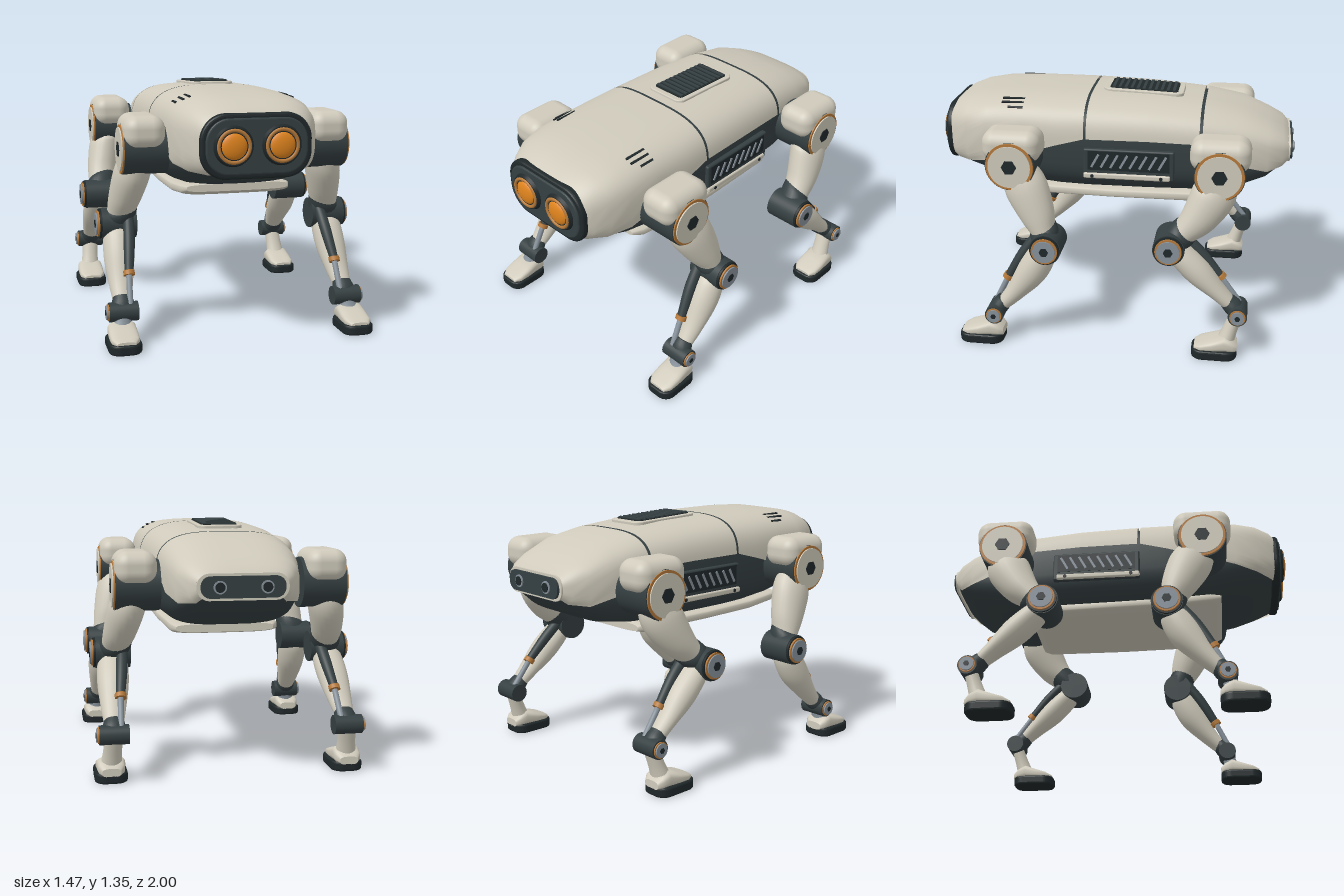
import * as THREE from 'three';
import { RoundedBoxGeometry } from 'three/addons/geometries/RoundedBoxGeometry.js';

const V = (x, y, z) => new THREE.Vector3(x, y, z);
const lerp = THREE.MathUtils.lerp;

function material(name, color) {
  const m = new THREE.MeshStandardMaterial({ color, side: THREE.DoubleSide });
  m.name = name;
  return m;
}
const SHELL = material('shell', 0xcfcabb), DARK = material('charcoal', 0x353f41),
  BLACK = material('rubber', 0x20282a), COPPER = material('copper', 0xb5793a),
  EYE = material('amber', 0xe0841e), STEEL = material('steel', 0x87919a);

function add(parent, name, geometry, mat, x = 0, y = 0, z = 0) {
  const mesh = new THREE.Mesh(geometry, mat);
  mesh.name = name;
  mesh.position.set(x, y, z);
  parent.add(mesh);
  return mesh;
}

// Skin through rings of points; closed rings also get end caps
function loft(rings, closed) {
  const n = rings[0].length, pos = [], idx = [];
  rings.forEach(r => r.forEach(p => pos.push(p.x, p.y, p.z)));
  for (let i = 0; i < rings.length - 1; i++)
    for (let j = 0; j < (closed ? n : n - 1); j++) {
      const a = i * n + j, b = i * n + (j + 1) % n;
      idx.push(a, b, a + n, b, b + n, a + n);
    }
  if (closed) [rings[0], rings[rings.length - 1]].forEach((ring, end) => {
    const c = pos.length / 3;
    const mid = ring.reduce((s, p) => s.add(p), V(0, 0, 0)).divideScalar(n);
    [mid, ...ring].forEach(p => pos.push(p.x, p.y, p.z));
    for (let j = 0; j < n; j++) {
      const a = c + 1 + j, b = c + 1 + (j + 1) % n;
      idx.push(c, end ? a : b, end ? b : a);
    }
  });
  const g = new THREE.BufferGeometry();
  g.setAttribute('position', new THREE.Float32BufferAttribute(pos, 3));
  g.setIndex(idx);
  g.computeVertexNormals();
  return g;
}

// Superellipse ring for a section [z, halfWidth, bottom, top]
function ring([z, w, lo, hi], n, a0, a1, count) {
  const f = v => Math.sign(v) * Math.abs(v) ** (2 / n);
  return Array.from({ length: count }, (_, j) => {
    const a = lerp(a0, a1, j / (a1 - a0 > 6.28 ? count : count - 1));
    return V(w * f(Math.cos(a)), (lo + hi) / 2 + (hi - lo) / 2 * f(Math.sin(a)), z);
  });
}
const hull = (sections, n) => loft(sections.map(s => ring(s, n, 0, Math.PI * 2, 48)), true);

// Tapered limb through points [x, y, z, rx, rz]
function limb(points) {
  const path = new THREE.CatmullRomCurve3(points.map(p => V(p[0], p[1], p[2])), false, 'catmullrom');
  const size = new THREE.CatmullRomCurve3(points.map(p => V(p[3], p[4], 0)), false, 'catmullrom');
  const X = V(1, 0, 0), steps = (points.length - 1) * 5;
  return loft(Array.from({ length: steps + 1 }, (_, i) => {
    const t = i / steps, c = path.getPoint(t), r = size.getPoint(t);
    const N = path.getTangent(t).cross(X).normalize();
    return Array.from({ length: 24 }, (_, j) => {
      const a = j / 24 * Math.PI * 2;
      return c.clone().addScaledVector(X, Math.cos(a) * r.x).addScaledVector(N, Math.sin(a) * r.y);
    });
  }), true);
}

// Rounded plate facing +z
function plate(w, h, r, depth, bevel = 0) {
  const s = new THREE.Shape(), x = w / 2 - bevel, y = h / 2 - bevel, H = Math.PI / 2;
  s.absarc(x - r, y - r, r, 0, H);
  s.absarc(r - x, y - r, r, H, 2 * H);
  s.absarc(r - x, r - y, r, 2 * H, 3 * H);
  s.absarc(x - r, r - y, r, 3 * H, 4 * H);
  return new THREE.ExtrudeGeometry(s, { depth: depth - 2 * bevel, bevelEnabled: bevel > 0,
    bevelSize: bevel, bevelThickness: bevel, bevelSegments: 3, curveSegments: 10 }).translate(0, 0, bevel);
}
const cylX = (r, len, sides = 36) => new THREE.CylinderGeometry(r, r, len, sides).rotateZ(Math.PI / 2);
const cylZ = (r, len, r2 = r) => new THREE.CylinderGeometry(r2, r, len, 36).rotateX(Math.PI / 2);

// Body sections [z, halfWidth, bottom, top, shell edge height], rear to front
const BODY = [
  [-.965, .235, .985, 1.12, 1.0], [-.93, .27, .945, 1.16, .97], [-.85, .32, .88, 1.2, .96],
  [-.7, .355, .82, 1.265, 1.0], [-.5, .378, .79, 1.30, 1.12], [-.2, .392, .785, 1.325, 1.13],
  [.15, .398, .785, 1.335, 1.13], [.3, .398, .79, 1.336, 1.09], [.5, .395, .81, 1.335, 1.03],
  [.7, .385, .85, 1.325, .975], [.82, .355, .885, 1.305, .95], [.9, .31, .91, 1.275, .94], [.93, .285, .925, 1.25, .94]];
function bodyAt(z) {
  let i = 0;
  while (i < BODY.length - 2 && BODY[i + 1][0] < z) i++;
  const t = (z - BODY[i][0]) / (BODY[i + 1][0] - BODY[i][0]);
  return BODY[i].map((v, k) => lerp(v, BODY[i + 1][k], t));
}
const POWER = 3.3;
function shellPiece(z0, z1) {
  const zs = [z0, ...BODY.map(b => b[0]).filter(z => z > z0 && z < z1), z1];
  return loft(zs.map(z => {
    const s = bodyAt(z), v = (s[4] - (s[2] + s[3]) / 2) / ((s[3] - s[2]) / 2);
    const a = Math.asin(Math.sign(v) * Math.min(.99, Math.abs(v)) ** (POWER / 2));
    return ring(s, POWER, a, Math.PI - a, 49);
  }), false);
}

function buildBody(g) {
  add(g, 'innerBody', hull(BODY.map(([z, w, lo, hi]) => [z * .992, w - .012, lo + .006, hi - .018]), POWER), DARK);
  [['rearShell', -.965, -.497], ['middleShell', -.48, .137], ['frontShell', .152, .93]]
    .forEach(([name, a, b]) => add(g, name, shellPiece(a, b), SHELL));
  add(g, 'bellyPlate', hull([[-.5, .27, .755, .80], [-.46, .3, .745, .82], [0, .315, .75, .82],
    [.35, .315, .755, .83], [.55, .305, .775, .845], [.61, .28, .80, .84]], 4), SHELL);

  // Face with two eyes
  add(g, 'faceRim', plate(.58, .33, .12, .05, .015), BLACK, 0, 1.085, .905);
  add(g, 'facePlate', plate(.53, .285, .11, .035, .01), DARK, 0, 1.085, .93);
  for (const s of [-1, 1]) {
    add(g, 'eyeSocket', cylZ(.105, .02, .095), BLACK, s * .125, 1.09, .972);
    add(g, 'eyeRing', new THREE.TorusGeometry(.08, .01, 10, 40), COPPER, s * .125, 1.09, .98);
    add(g, 'eye', new THREE.SphereGeometry(.068, 32, 20).scale(1, 1, .35), EYE, s * .125, 1.09, .976);
  }

  // Rear sensor panel
  add(g, 'rearRim', plate(.47, .136, .065, .012), SHELL, 0, 1.052, -.973);
  add(g, 'rearPanel', plate(.43, .11, .05, .016), DARK, 0, 1.052, -.986);
  for (const s of [-1, 1]) {
    add(g, 'rearSensorRing', cylZ(.033, .01), STEEL, s * .12, 1.052, -.988);
    add(g, 'rearSensor', cylZ(.025, .012), BLACK, s * .12, 1.052, -.991);
  }

  // Slatted vent on the back
  const vent = new THREE.Group();
  vent.name = 'topVent';
  vent.position.set(0, 1.322, -.145);
  vent.rotation.x = -.04;
  g.add(vent);
  add(vent, 'ventFrame', plate(.25, .45, .04, .027, .006).rotateX(-Math.PI / 2), SHELL, 0, -.012, 0);
  add(vent, 'ventBase', plate(.2, .385, .02, .006).rotateX(-Math.PI / 2), BLACK, 0, .012, 0);
  for (let i = 0; i < 11; i++)
    add(vent, 'ventSlat', new THREE.BoxGeometry(.19, .01, .016), DARK, 0, .02, -.17 + i * .034);

  for (const s of [-1, 1]) {
    // Shoulder slots laid on the shell
    [.265, .298, .33].forEach((x, i) => {
      const z = i === 2 ? .54 : .56, [, w, lo, hi] = bodyAt(z);
      const top = v => (lo + hi) / 2 + (hi - lo) / 2 * (1 - (v / w) ** POWER) ** (1 / POWER);
      add(g, 'shellSlot', new THREE.BoxGeometry(.012, .008, i === 2 ? .085 : .125), BLACK, s * x, top(x), z)
        .rotation.z = s * Math.atan((top(x + .01) - top(x - .01)) / .02);
    });
    // Side panel with slanted fins and a rail
    add(g, 'sidePanel', new RoundedBoxGeometry(.035, .17, .5, 3, .01), DARK, s * .389, .995, -.1);
    add(g, 'sideRecess', new THREE.BoxGeometry(.006, .11, .45), BLACK, s * .405, 1.015, -.1);
    for (let i = 0; i < 8; i++)
      add(g, 'sideFin', new THREE.BoxGeometry(.012, .085, .013), STEEL, s * .407, 1.015, .085 - i * .053).rotation.x = -.5;
    add(g, 'sideRail', new RoundedBoxGeometry(.04, .032, .48, 3, .01), SHELL, s * .397, .928, -.09);
    for (const z of [.1, -.28]) add(g, 'railBolt', cylX(.01, .008, 12), BLACK, s * .417, .928, z);
  }
}

// Drum with copper rim, steel disc and hub, facing outward
function joint(g, name, s, [x, y, z], r, half, out) {
  add(g, name + 'Drum', cylX(r, half * 2), DARK, s * x, y, z);
  add(g, name + 'Cap', cylX(r * .95, .02), BLACK, s * (out - .03), y, z);
  add(g, name + 'Rim', cylX(r * .84, .014), COPPER, s * (out - .017), y, z);
  add(g, name + 'Disc', cylX(r * .72, .014), STEEL, s * (out - .009), y, z);
  add(g, name + 'Hub', cylX(r * .3, .014, 6), BLACK, s * (out - .006), y, z);
}

function buildLeg(root, name, s, cfg) {
  const g = new THREE.Group();
  g.name = name;
  root.add(g);
  const { hip, knee, ankle, foot, bow, calf } = cfg;
  // Point list along a bone: [t, rx, rz, xOffset, sideOffset]
  const bone = (a, b, list, bend = 0) => {
    const dy = b[1] - a[1], dz = b[2] - a[2], len = Math.hypot(dy, dz), up = Math.sign(dz);
    return limb(list.map(([t, rx, rz, dx = 0, off = 0]) => [s * (lerp(a[0], b[0], t) + dx),
      a[1] + dy * t + up * dz / len * off,
      a[2] + dz * t - up * dy / len * off + bend * Math.sin(Math.PI * t), rx, rz]));
  };

  // Hip
  add(g, 'hipCover', new RoundedBoxGeometry(.22, .175, .32, 6, .07), SHELL, s * .505, 1.128, hip[2]);
  add(g, 'hipDrum', cylX(.135, .235), DARK, s * .495, hip[1], hip[2]);
  add(g, 'hipRim', cylX(.13, .016), COPPER, s * .612, hip[1], hip[2]);
  add(g, 'hipDisc', cylX(.116, .02), SHELL, s * .617, hip[1], hip[2]);
  add(g, 'hipHub', cylX(.042, .01, 6), BLACK, s * .626, hip[1], hip[2]);

  // Thigh and knee
  add(g, 'thigh', bone(hip, knee, [[.1, .085, .1], [.32, .098, .12], [.62, .09, .1], [.82, .078, .072], [.95, .07, .06]], bow), SHELL);
  add(g, 'kneeFork', bone(hip, knee, [[.74, .06, .07, -.02], [.85, .086, .08], [1, .09, .07]], bow), DARK);
  joint(g, 'knee', s, knee, .086, .095, .732);

  // Shank, ankle and piston
  add(g, 'shank', bone(knee, ankle, [[.06, .075, .06], [.2, .085, .08 * calf], [.42, .084, .083 * calf],
    [.7, .066, .056 * calf], [.92, .048, .038]], cfg.shankBow), SHELL);
  add(g, 'ankleCuff', bone(knee, ankle, [[.84, .052, .045], [.92, .062, .05], [1, .062, .045]]), DARK);
  joint(g, 'ankle', s, ankle, .052, .078, .725);
  add(g, 'pistonBody', bone(knee, ankle, [[.02, .03, .03, -.05, .07], [.3, .031, .031, -.045, .072], [.62, .024, .024, -.035, .06]]), DARK);
  add(g, 'pistonCollar', bone(knee, ankle, [[.6, .031, .031, -.035, .06], [.65, .031, .031, -.035, .058]]), COPPER);
  add(g, 'pistonRod', bone(knee, ankle, [[.64, .016, .016, -.035, .058], [.97, .016, .016, -.035, .03]]), STEEL);

  // Foot
  add(g, 'footLink', bone(ankle, foot, [[0, .05, .035], [.55, .05, .04], [1, .06, .05]]), cfg.linkMaterial);
  const z = cfg.heel;
  add(g, 'sole', plate(.175, .25, .05, .055, .012).rotateX(-Math.PI / 2), BLACK, s * .645, 0, z + .125);
  add(g, 'footShell', hull([[0, .05, .04, .085], [.025, .07, .04, .11], [.07, .076, .04, .135],
    [.14, .078, .04, .108], [.2, .074, .04, .088], [.235, .05, .04, .07]], 3), SHELL, s * .645, 0, z);
}

export function createModel() {
  const root = new THREE.Group();
  root.name = 'robotQuadruped';
  const body = new THREE.Group();
  body.name = 'body';
  root.add(body);
  buildBody(body);
  const front = { hip: [.515, 1.032, .513], knee: [.605, .594, .315], ankle: [.63, .176, .615],
    foot: [.645, .09, .64], heel: .572, bow: -.01, shankBow: -.03, calf: 1, linkMaterial: STEEL };
  const rear = { hip: [.515, 1.032, -.604], knee: [.605, .636, -.353], ankle: [.63, .267, -.733],
    foot: [.645, .08, -.67], heel: -.738, bow: -.06, shankBow: 0, calf: .87, linkMaterial: SHELL };
  for (const [side, s] of [['left', 1], ['right', -1]]) {
    buildLeg(root, side + 'FrontLeg', s, front);
    buildLeg(root, side + 'RearLeg', s, rear);
  }
  return root;
}
